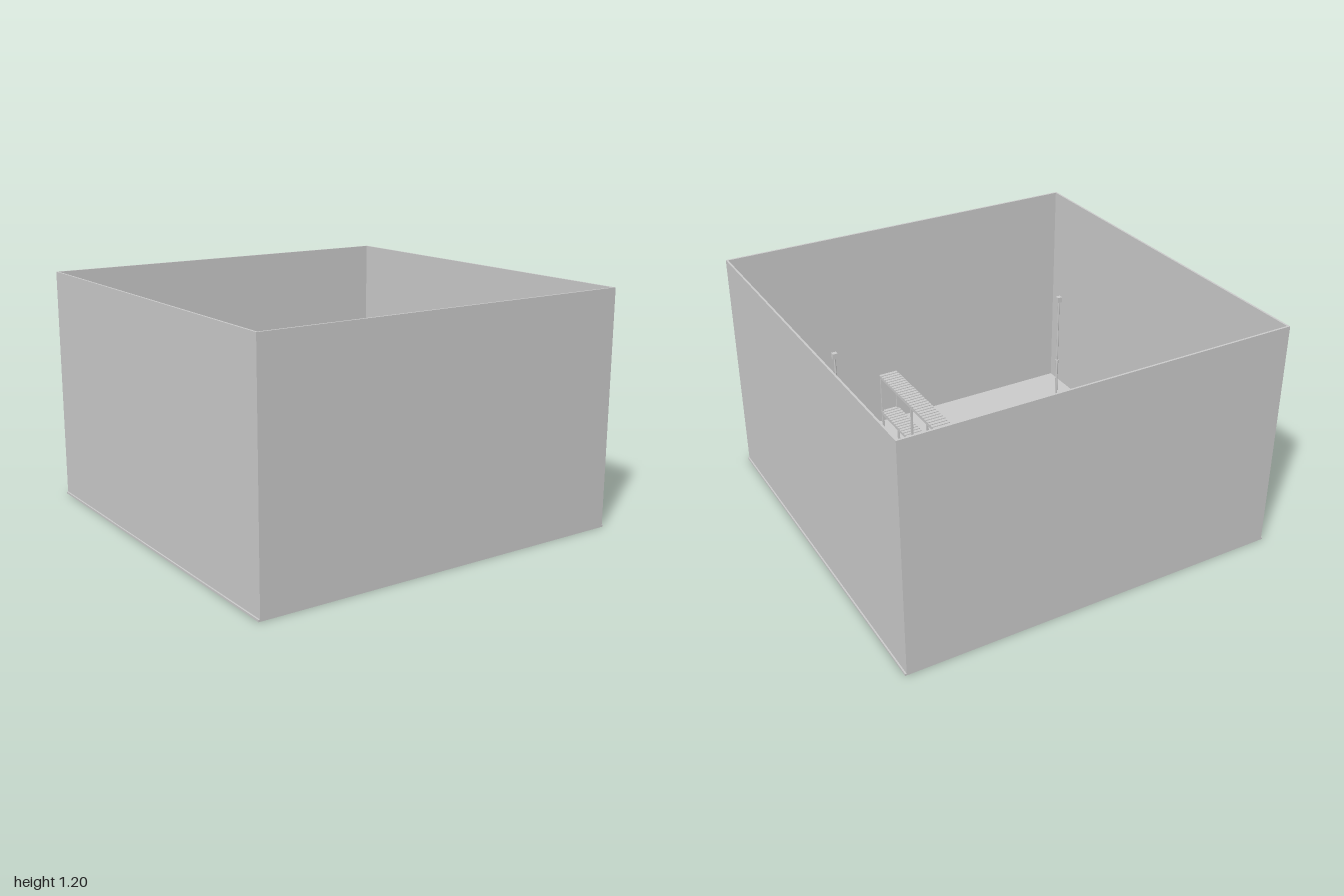
import * as THREE from 'three';

const material = new THREE.MeshStandardMaterial({ color: 0xcccccc });

function add(parent, name, geometry, x = 0, y = 0, z = 0) {
  const mesh = new THREE.Mesh(geometry, material);
  mesh.name = name;
  mesh.position.set(x, y, z);
  parent.add(mesh);
  return mesh;
}

const box = (w, h, d) => new THREE.BoxGeometry(w, h, d);

// Straight round bar between two points
function bar(parent, name, a, b, radius) {
  const dir = new THREE.Vector3().subVectors(b, a);
  const mesh = add(parent, name, new THREE.CylinderGeometry(radius, radius, dir.length(), 10));
  mesh.position.copy(a).addScaledVector(dir, 0.5);
  mesh.quaternion.setFromUnitVectors(new THREE.Vector3(0, 1, 0), dir.normalize());
}

// Open-topped room: floor slab and four thin walls
function createRoom() {
  const room = new THREE.Group();
  room.name = 'room';
  const t = 0.01, height = 1.19, y = 0.01 + height / 2;
  add(room, 'floor', box(2, 0.01, 1.99), 0, 0.005, 0);
  add(room, 'frontWall', box(1.985, height, t), 0, y, 0.99);
  add(room, 'backWall', box(1.985, height, t), 0, y, -0.99);
  for (const side of [-1, 1]) {
    add(room, side > 0 ? 'leftWall' : 'rightWall', box(t, height, 1.97), side * 0.9875, y, 0);
  }
  return room;
}

// Tripod stand with a telescopic pole and a small head
function createStand(x, z) {
  const stand = new THREE.Group();
  stand.name = 'tripodStand';
  stand.position.set(x, 0.01, z);
  const v = (a, b, c) => new THREE.Vector3(a, b, c);
  bar(stand, 'lowerPole', v(0, 0.04, 0), v(0, 0.42, 0), 0.007);
  bar(stand, 'upperPole', v(0, 0.42, 0), v(0, 0.79, 0), 0.005);
  bar(stand, 'poleCollar', v(0, 0.41, 0), v(0, 0.43, 0), 0.01);
  bar(stand, 'legHub', v(0, 0.13, 0), v(0, 0.15, 0), 0.011);
  for (let i = 0; i < 3; i++) {
    const a = (i * Math.PI * 2) / 3;
    const s = Math.sin(a), c = Math.cos(a);
    bar(stand, 'leg', v(s * 0.008, 0.14, c * 0.008), v(s * 0.093, 0.004, c * 0.093), 0.004);
    bar(stand, 'legBrace', v(0, 0.05, 0), v(s * 0.05, 0.073, c * 0.05), 0.0025);
  }
  add(stand, 'head', box(0.026, 0.03, 0.024), 0, 0.805, 0);
  return stand;
}

// Shelving unit with slatted decks running along z
function createShelves() {
  const unit = new THREE.Group();
  unit.name = 'shelvingUnit';
  unit.position.set(0.407, 0.01, 0.01);
  const width = 0.096, length = 0.71, top = 0.68, slats = 30;
  const pitch = length / slats;
  for (const level of [0.06, 0.265, 0.47, top]) {
    for (let i = 0; i < slats; i++) {
      add(unit, 'slat', box(width, 0.006, pitch * 0.75),
        0, level - 0.003, -length / 2 + (i + 0.5) * pitch);
    }
    for (const side of [-1, 1]) {
      add(unit, 'rail', box(0.008, 0.014, length - 0.01), side * 0.042, level - 0.013, 0);
    }
  }
  for (const side of [-1, 1]) {
    for (const z of [-0.345, 0, 0.345]) {
      add(unit, 'post', box(0.01, top - 0.006, 0.01), side * 0.042, (top - 0.006) / 2, z);
    }
  }
  return unit;
}

export function createModel() {
  const model = new THREE.Group();
  model.name = 'roomWithShelves';
  model.add(createRoom(), createShelves());
  for (const x of [-0.675, 0.657]) {
    for (const z of [-0.479, 0.447]) model.add(createStand(x, z));
  }
  return model;
}
